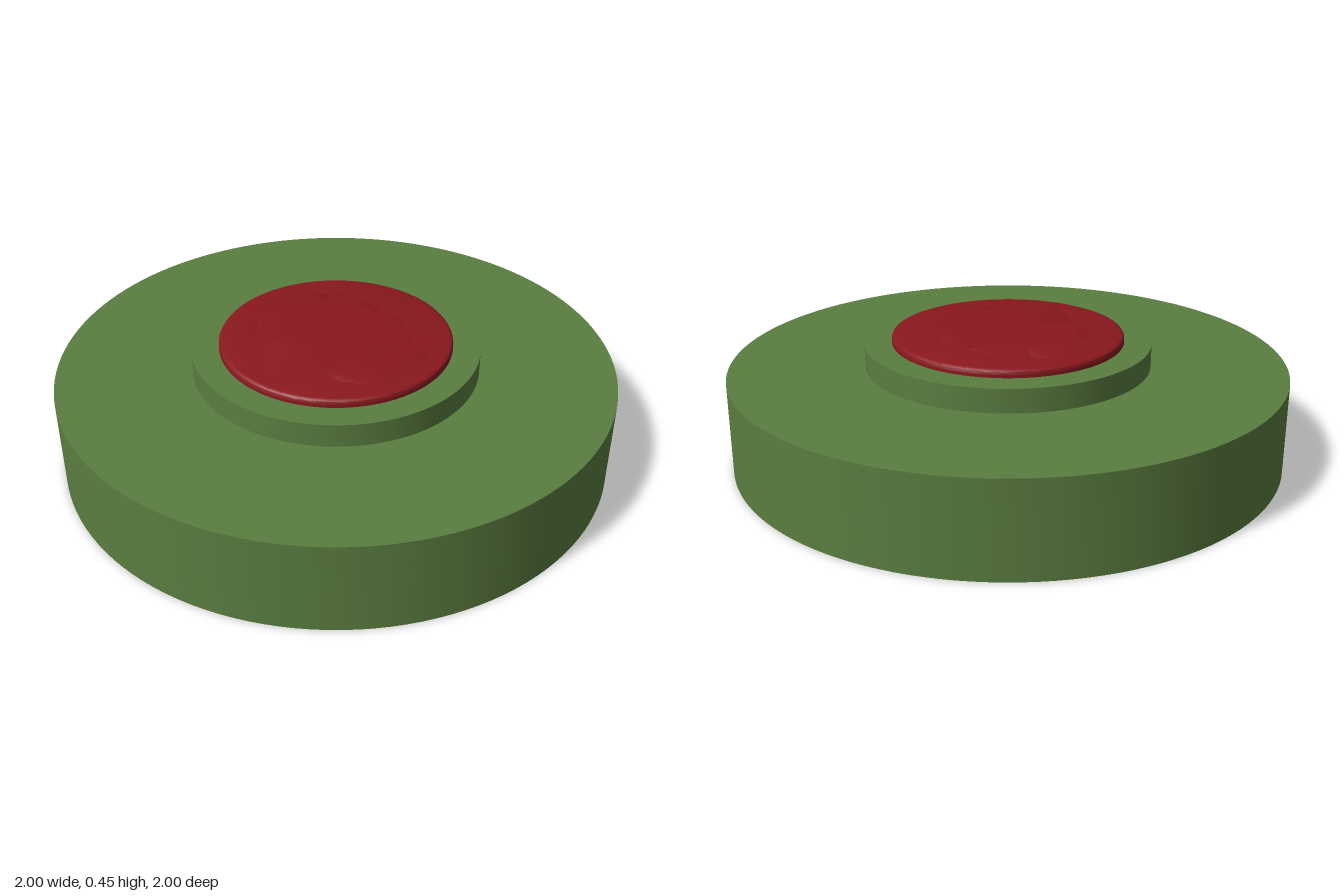
import * as THREE from 'three';
import { toCreasedNormals } from 'three/addons/utils/BufferGeometryUtils.js';

const green = new THREE.MeshStandardMaterial({ color: 0x5a7d40 });
const red = new THREE.MeshStandardMaterial({ color: 0x8a181e });

// Keep the part of a convex polygon that is nearer to seed a than to seed b
function clip(poly, a, b) {
  const n = b.clone().sub(a);
  const mid = a.clone().add(b).multiplyScalar(0.5);
  const side = (p) => p.clone().sub(mid).dot(n);
  const out = [];
  poly.forEach((p, i) => {
    const q = poly[(i + 1) % poly.length];
    const dp = side(p), dq = side(q);
    if (dp <= 0) out.push(p);
    if (dp * dq < 0) out.push(p.clone().lerp(q, dp / (dp - dq)));
  });
  return out.filter((p, i) => p.distanceTo(out[(i + 1) % out.length]) > 1e-5);
}

// Outline of one broken piece of a disc, in x and z
function cell(seeds, index, radius, sides = 128) {
  let poly = Array.from({ length: sides }, (_, i) => {
    const a = (i / sides) * Math.PI * 2;
    return new THREE.Vector2(Math.cos(a) * radius, Math.sin(a) * radius);
  });
  seeds.forEach((s, j) => {
    if (j !== index && poly.length) poly = clip(poly, seeds[index], s);
  });
  return poly;
}

// Upright slab between two heights; scaleAt(y) may shrink it toward the axis
function slab(outline, y0, y1, steps = 1, scaleAt = null) {
  const shape = new THREE.Shape(outline.map((p) => new THREE.Vector2(p.x, -p.y)));
  const geo = new THREE.ExtrudeGeometry(shape, { depth: y1 - y0, steps, bevelEnabled: false });
  geo.rotateX(-Math.PI / 2).translate(0, y0, 0);
  if (scaleAt) {
    const pos = geo.attributes.position;
    for (let i = 0; i < pos.count; i++) {
      const s = scaleAt(pos.getY(i));
      pos.setXYZ(i, pos.getX(i) * s, pos.getY(i), pos.getZ(i) * s);
    }
  }
  return toCreasedNormals(geo, 0.6);
}

function add(group, name, geo, material) {
  const mesh = new THREE.Mesh(geo, material);
  mesh.name = name;
  group.add(mesh);
}

export function createModel() {
  const model = new THREE.Group();
  model.name = 'crackedDisc';

  // Broad base and raised collar, broken along the same cracks
  const body = new THREE.Group();
  body.name = 'body';
  const bodySeeds = [
    [-0.87, 0], [-0.72, -0.68], [-0.3, -0.85], [-0.38, -0.32], [0.2, -1],
    [0.16, -0.42], [0.7, -0.32], [0.78, 0.22], [0.76, 0.72], [0.33, 0.5],
    [0.18, 0.97], [-0.1, 0.68], [-0.5, 0.75], [-0.5, 0.27],
  ].map(([x, z]) => new THREE.Vector2(x, z));
  bodySeeds.forEach((_, i) => {
    const base = cell(bodySeeds, i, 1);
    if (base.length > 2) add(body, 'baseShard', slab(base, 0, 0.335), green);
    const collar = cell(bodySeeds, i, 0.515);
    if (collar.length > 2) add(body, 'collarShard', slab(collar, 0.335, 0.42), green);
  });
  model.add(body);

  // Red pressure plate with a rounded rim, in smaller pieces
  const plate = new THREE.Group();
  plate.name = 'pressurePlate';
  const R = 0.417, top = 0.447, round = 0.014;
  const rounded = (y) => {
    const t = Math.max(0, (y - (top - round)) / round);
    return 1 - (round / R) * (1 - Math.sqrt(Math.max(0, 1 - t * t)));
  };
  const count = 28;
  const plateSeeds = Array.from({ length: count }, (_, i) => {
    const r = R * Math.sqrt((i + 0.5) / count) * (1 + 0.14 * Math.sin(i * 7.3));
    const a = i * 2.4 + 0.35 * Math.sin(i * 4.1);
    return new THREE.Vector2(Math.cos(a) * r, Math.sin(a) * r);
  });
  plateSeeds.forEach((_, i) => {
    const piece = cell(plateSeeds, i, R, 96);
    if (piece.length > 2) add(plate, 'plateShard', slab(piece, 0.419, top, 8, rounded), red);
  });
  model.add(plate);

  return model;
}
